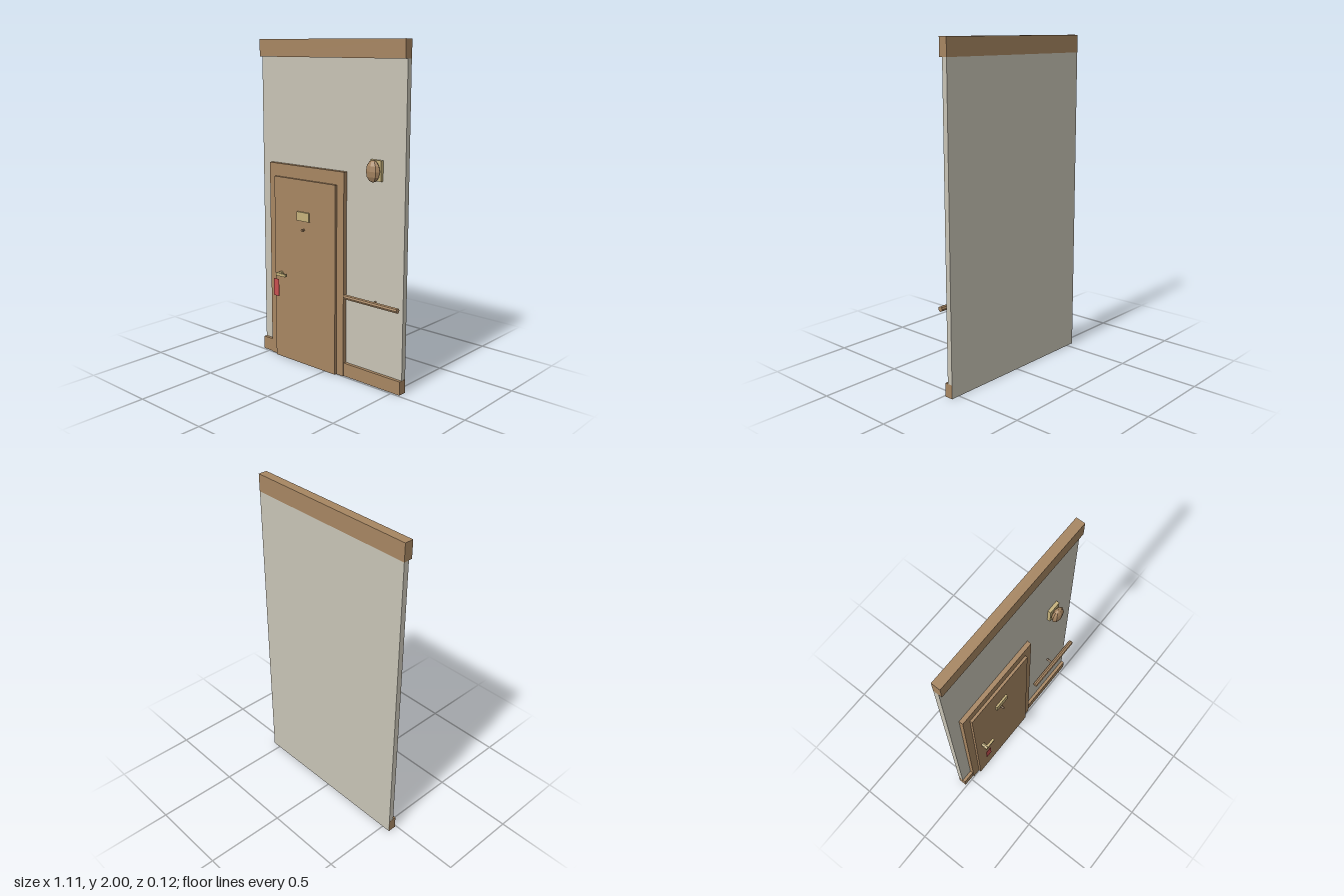
import * as THREE from 'three';

const mat = (name, color) => {
  const m = new THREE.MeshStandardMaterial({ color });
  m.name = name;
  return m;
};

export function createModel() {
  const wood = mat('wood', 0xa78662);
  const plaster = mat('plaster', 0xc8c4b6);
  const brass = mat('brass', 0xc6b27c);
  const red = mat('red', 0xc85050);
  const group = new THREE.Group();

  const add = (name, geometry, material) => {
    const mesh = new THREE.Mesh(geometry, material);
    mesh.name = name;
    group.add(mesh);
    return mesh;
  };

  // Box given by its extents on each axis
  const box = (name, material, [x0, x1], [y0, y1], [z0, z1]) =>
    add(name, new THREE.BoxGeometry(x1 - x0, y1 - y0, z1 - z0), material)
      .position.set((x0 + x1) / 2, (y0 + y1) / 2, (z0 + z1) / 2);

  // Faceted rod along x or z
  const rod = (name, material, axis, r, length, sides, x, y, z) => {
    const g = new THREE.CylinderGeometry(r, r, length, sides).toNonIndexed();
    if (axis === 'x') g.rotateZ(Math.PI / 2);
    else g.rotateX(Math.PI / 2);
    g.computeVertexNormals();
    add(name, g, material).position.set(x, y, z);
  };

  // Wall with crown moulding and baseboard
  box('wall', plaster, [-0.5545, 0.5545], [0, 1.9], [-0.063, -0.03]);
  box('crownMoulding', wood, [-0.555, 0.555], [1.895, 2], [-0.0635, -0.009]);
  box('baseboard', wood, [-0.555, 0.555], [0, 0.083], [-0.0625, -0.01]);

  // Door
  box('doorFrame', wood, [-0.473, 0.135], [0, 1.25], [-0.035, -0.003]);
  box('doorPanel', wood, [-0.418, 0.082], [0, 1.17], [-0.03, 0.013]);
  box('numberPlate', brass, [-0.218, -0.12], [0.92, 0.975], [0.01, 0.025]);
  rod('peephole', wood, 'z', 0.007, 0.025, 8, -0.168, 0.864, 0.0225);

  // Handle with hanging tag
  rod('handleStem', brass, 'z', 0.013, 0.04, 8, -0.362, 0.558, 0.03);
  box('handleLever', brass, [-0.375, -0.296], [0.549, 0.567], [0.039, 0.054]);
  box('doorTag', red, [-0.386, -0.342], [0.42, 0.53], [0.058, 0.061]);

  // Handrail and its bracket
  rod('handrail', wood, 'x', 0.0155, 0.39, 8, 0.36, 0.515, 0.02);
  rod('railBracket', wood, 'z', 0.007, 0.05, 6, 0.36, 0.512, -0.01);

  // Wall lamp
  box('lampPlate', brass, [0.32, 0.4], [1.222, 1.34], [-0.035, -0.01]);
  const shade = new THREE.SphereGeometry(1, 8, 6).toNonIndexed();
  shade.scale(0.049, 0.063, 0.027);
  shade.computeVertexNormals();
  add('lampShade', shade, wood).position.set(0.36, 1.28, 0.012);

  return group;
}
